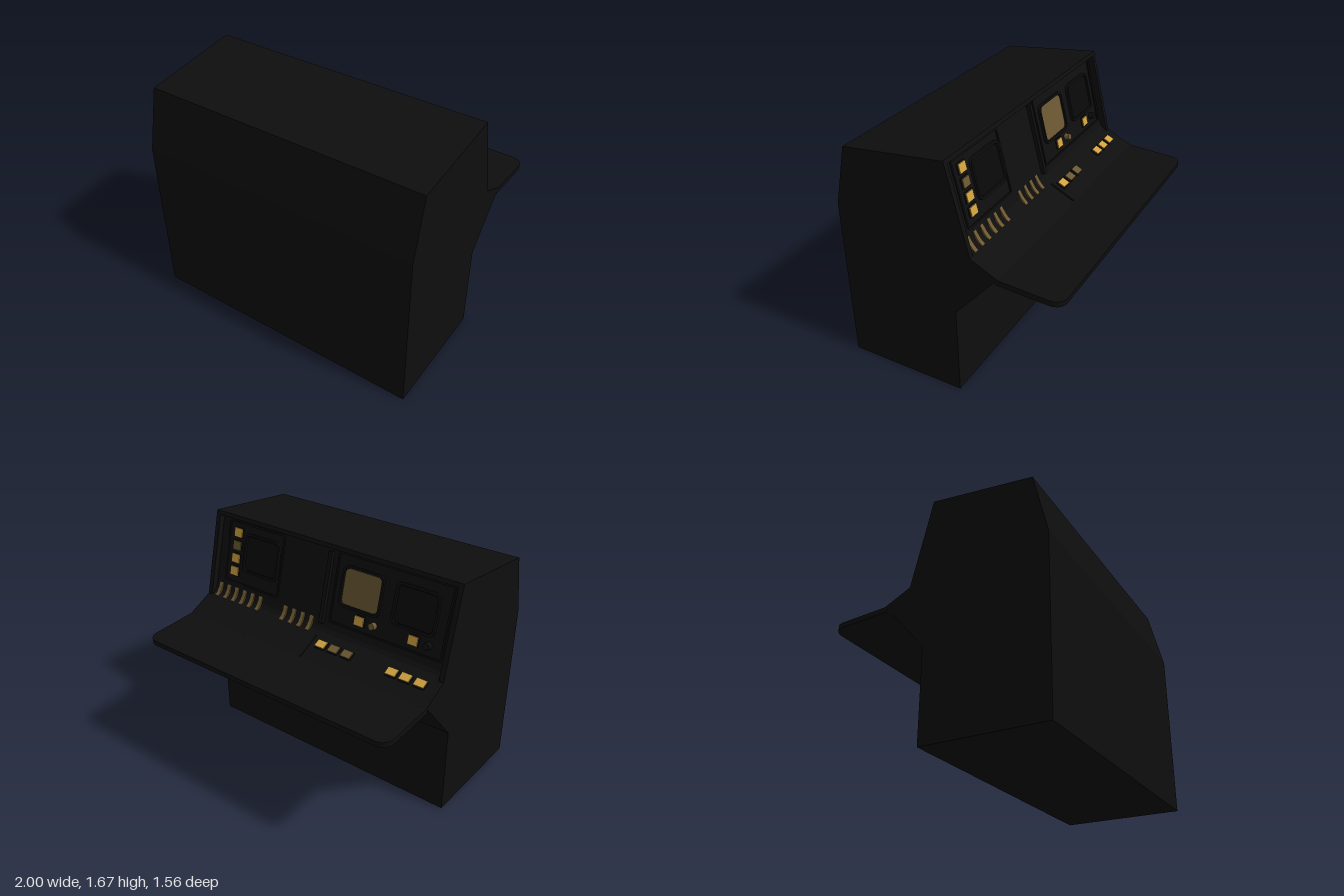
import * as THREE from 'three';

const mat = (name, color) => new THREE.MeshStandardMaterial({ name, color });

export function createModel() {
  const black = mat('cabinet black', 0x0e0e0e);
  const glass = mat('dark glass', 0x090909);
  const amber = mat('lit amber', 0xd0a23f);
  const brown = mat('dim amber', 0x6b5731);
  const model = new THREE.Group();
  model.name = 'controlConsole';

  const add = (parent, name, geo, material, x = 0, y = 0, z = 0) => {
    const m = new THREE.Mesh(geo, material);
    m.name = name;
    m.position.set(x, y, z);
    parent.add(m);
    return m;
  };
  // Side profile of [z, y] points, extruded along x and centred
  const profile = (pts, width) => {
    const s = new THREE.Shape(pts.map(([z, y]) => new THREE.Vector2(z, y)));
    return new THREE.ExtrudeGeometry(s, { depth: width, bevelEnabled: false })
      .translate(0, 0, -width / 2).rotateY(-Math.PI / 2);
  };
  const roundRect = (w, h, r, Kind = THREE.Shape) => {
    const s = new Kind(), x = w / 2, y = h / 2;
    s.moveTo(-x + r, -y);
    s.lineTo(x - r, -y); s.quadraticCurveTo(x, -y, x, -y + r);
    s.lineTo(x, y - r); s.quadraticCurveTo(x, y, x - r, y);
    s.lineTo(-x + r, y); s.quadraticCurveTo(-x, y, -x, y - r);
    s.lineTo(-x, -y + r); s.quadraticCurveTo(-x, -y, -x + r, -y);
    return s;
  };
  const plate = (shape, depth) =>
    new THREE.ExtrudeGeometry(shape, { depth, bevelEnabled: false, curveSegments: 6 });
  const frame = (w, h, r, border, depth) => {
    const s = roundRect(w + border * 2, h + border * 2, r + border);
    s.holes.push(roundRect(w, h, r, THREE.Path));
    return plate(s, depth);
  };
  // Work surface facing the operator at -z; local z points out of it
  const surface = (name, z, y, tilt) => {
    const g = new THREE.Group();
    g.name = name;
    g.rotation.order = 'YXZ';
    g.rotation.set(-tilt, Math.PI, 0);
    g.position.set(0, y, z);
    model.add(g);
    return g;
  };

  // Cabinet: recessed core between two full end walls
  const lower = [[-0.185, 1.07], [-0.37, 0.98], [-0.33, 0.94], [-0.065, 0.63], [-0.065, 0]];
  const shell = [[0.78, 0], [0.78, 1.17], [0.68, 1.59], [-0.035, 1.67]];
  const wall = 0.035;
  add(model, 'cabinetCore', profile([...shell, [-0.042, 1.642], [0.003, 1.642],
    [-0.12, 1.15], [-0.135, 1.11], [-0.155, 1.085], ...lower], 2 - wall * 2), black);
  for (const side of [-1, 1])
    add(model, side > 0 ? 'leftEndWall' : 'rightEndWall',
      profile([...shell, ...lower], wall), black, side * (1 - wall / 2));

  // Desk slab with rounded outer corners
  const L = 0.431, r = 0.08, top = new THREE.Shape();
  top.moveTo(-1, 0);
  top.lineTo(1, 0);
  top.lineTo(1, L - r);
  top.absarc(1 - r, L - r, r, 0, Math.PI / 2);
  top.lineTo(-1 + r, L);
  top.absarc(-1 + r, L - r, r, Math.PI / 2, Math.PI);
  const desk = add(model, 'deskTop', plate(top, 0.037).rotateX(-Math.PI / 2), black, 0, 0.944, -0.35);
  desk.rotation.x = -0.058;

  // Upright instrument panel
  const tilt = Math.atan(0.25);
  const panel = surface('instrumentPanel', -0.0645, 1.372, tilt);
  const up = (y) => (y - 1.372) / Math.cos(tilt);
  add(panel, 'centreDivider', new THREE.BoxGeometry(0.03, 0.49, 0.03), black, 0.02, 0, 0.012);
  for (const [x, w, y, h] of [[0.64, 0.49, 1.4, 0.42], [-0.505, 0.84, 1.39, 0.46]])
    add(panel, 'panelTrim', frame(w, h, 0.01, 0.012, 0.008), black, -x, up(y));

  for (const [x, y, m] of [[0.57, 1.42, glass], [-0.29, 1.42, brown], [-0.7, 1.42, glass]]) {
    add(panel, 'screenBezel', frame(0.29, 0.25, 0.035, 0.015, 0.018), black, -x, up(y));
    add(panel, 'screen', plate(roundRect(0.28, 0.24, 0.035), 0.009), m, -x, up(y));
  }

  const button = (parent, x, v, w, h, m) => {
    add(parent, 'buttonSurround', frame(w, h, 0.004, 0.008, 0.006), black, x, v);
    add(parent, 'buttonCap', new THREE.BoxGeometry(w, h, 0.018), m, x, v, 0.004);
  };
  // Column of indicator lights
  [1.54, 1.45, 1.36, 1.27].forEach((y, i) =>
    button(panel, -0.805, up(y), 0.07, 0.06, i === 1 ? brown : amber));
  // Lights and knobs under the screens
  for (const x of [-0.31, -0.72]) {
    button(panel, -x, up(1.23), 0.07, 0.06, amber);
    const knob = new THREE.CylinderGeometry(0.022, 0.025, 0.035, 16).rotateX(Math.PI / 2);
    add(panel, 'knob', knob, x > -0.5 ? brown : black, -x + 0.11, up(1.23), 0.017);
  }

  // Curved levers in the cove
  const lever = profile([[-0.122, 1.158], [-0.146, 1.116], [-0.164, 1.093], [-0.184, 1.076],
    [-0.18, 1.06], [-0.12, 1.08]], 0.032);
  const leverX = [];
  for (let i = 0; i < 4; i++) leverX.push(0.07 + i * 0.077);
  for (let i = 0; i < 6; i++) leverX.push(0.533 + i * 0.077);
  for (const x of leverX) add(model, 'lever', lever, brown, x);

  // Sloped key shelf
  const shelf = surface('keyShelf', -0.2775, 1.025, Math.atan(0.185 / 0.09));
  add(shelf, 'shelfDivider', new THREE.BoxGeometry(0.012, 0.19, 0.008), black, 0.02, 0, 0.002);
  for (const [x, m] of [[-0.873, amber], [-0.766, amber], [-0.664, amber],
    [-0.315, brown], [-0.21, brown], [-0.105, amber]])
    button(shelf, -x, 0.042, 0.074, 0.055, m);

  return model;
}
